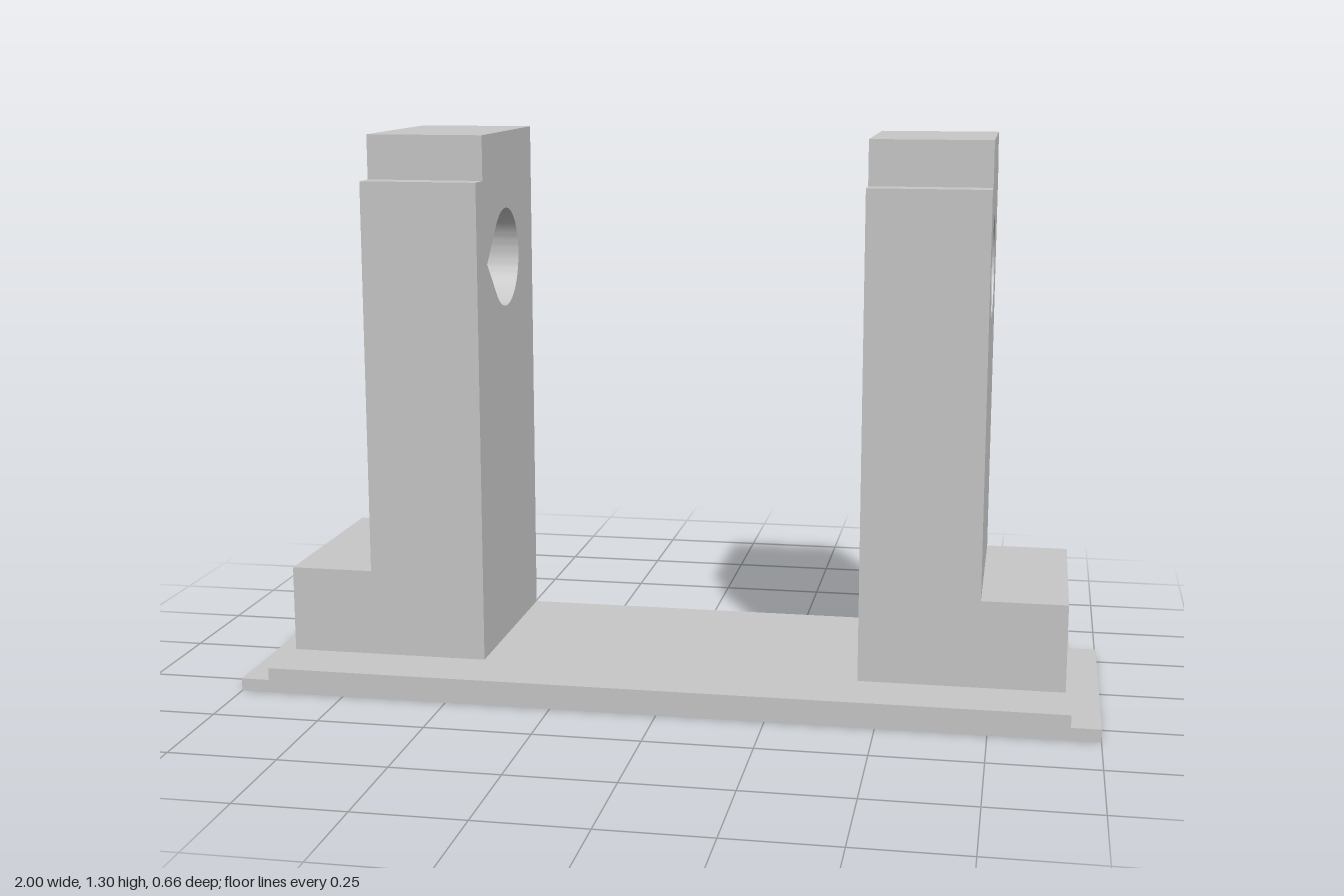
import * as THREE from 'three';
import { toCreasedNormals } from 'three/addons/utils/BufferGeometryUtils.js';

const BACK = -0.33;

export function createModel() {
  const model = new THREE.Group();
  model.name = 'bracket';
  const grey = new THREE.MeshStandardMaterial({ color: 0xc8c8c8 });
  grey.name = 'light grey';

  // Side profile given as [z, y] points, extruded along x from x0 to x1
  function profile(name, points, x0, x1, hole) {
    const shape = new THREE.Shape(points.map(([z, y]) => new THREE.Vector2(-z, y)));
    if (hole) shape.holes.push(hole);
    const extruded = new THREE.ExtrudeGeometry(shape, {
      depth: x1 - x0, bevelEnabled: false, curveSegments: 40,
    });
    extruded.rotateY(Math.PI / 2);
    extruded.translate(x0, 0, 0);
    const mesh = new THREE.Mesh(toCreasedNormals(extruded, 0.5), grey);
    mesh.name = name;
    model.add(mesh);
  }

  // Teardrop bore: a circle with two 45 degree tangents meeting at the front,
  // drawn counter-clockwise so that its wall faces into the bore
  function teardrop() {
    const r = 0.119, cx = 0.078, cy = 1;
    const path = new THREE.Path();
    path.moveTo(cx - r * Math.SQRT2, cy);
    path.lineTo(cx - r * Math.SQRT1_2, cy - r * Math.SQRT1_2);
    path.absarc(cx, cy, r, -Math.PI * 0.75, Math.PI * 0.75, false);
    path.closePath();
    return path;
  }

  // Base plate
  profile('basePlate', [[0.33, 0], [0.33, 0.059], [BACK, 0.059], [BACK, 0]], -0.933, 0.933);

  for (const side of [1, -1]) {
    const label = side > 0 ? 'left' : 'right';
    const span = (a, b) => (side > 0 ? [a, b] : [-b, -a]);

    // Upright with a front notch; only the left one has a chamfered back edge
    const topBack = side > 0 ? [[-0.257, 1.303], [BACK, 1.23]] : [[BACK, 1.303]];
    profile(label + 'Upright',
      [[0.177, 0.059], [0.177, 1.198], [0.118, 1.198], [0.118, 1.303], ...topBack, [BACK, 0.059]],
      ...span(0.447, 0.725), teardrop());

    // Outer foot
    profile(label + 'Foot',
      [[0.177, 0.059], [0.177, 0.265], [BACK, 0.265], [BACK, 0.059]],
      ...span(0.725, 0.922));

    // Thin end rail, stepping down at the back
    profile(label + 'Rail',
      [[0.33, 0], [0.33, 0.03], [-0.253, 0.03], [-0.253, 0.02], [-0.288, 0.02],
        [-0.288, 0.01], [-0.303, 0.01], [-0.303, 0]],
      ...span(0.933, 1));
  }
  return model;
}
